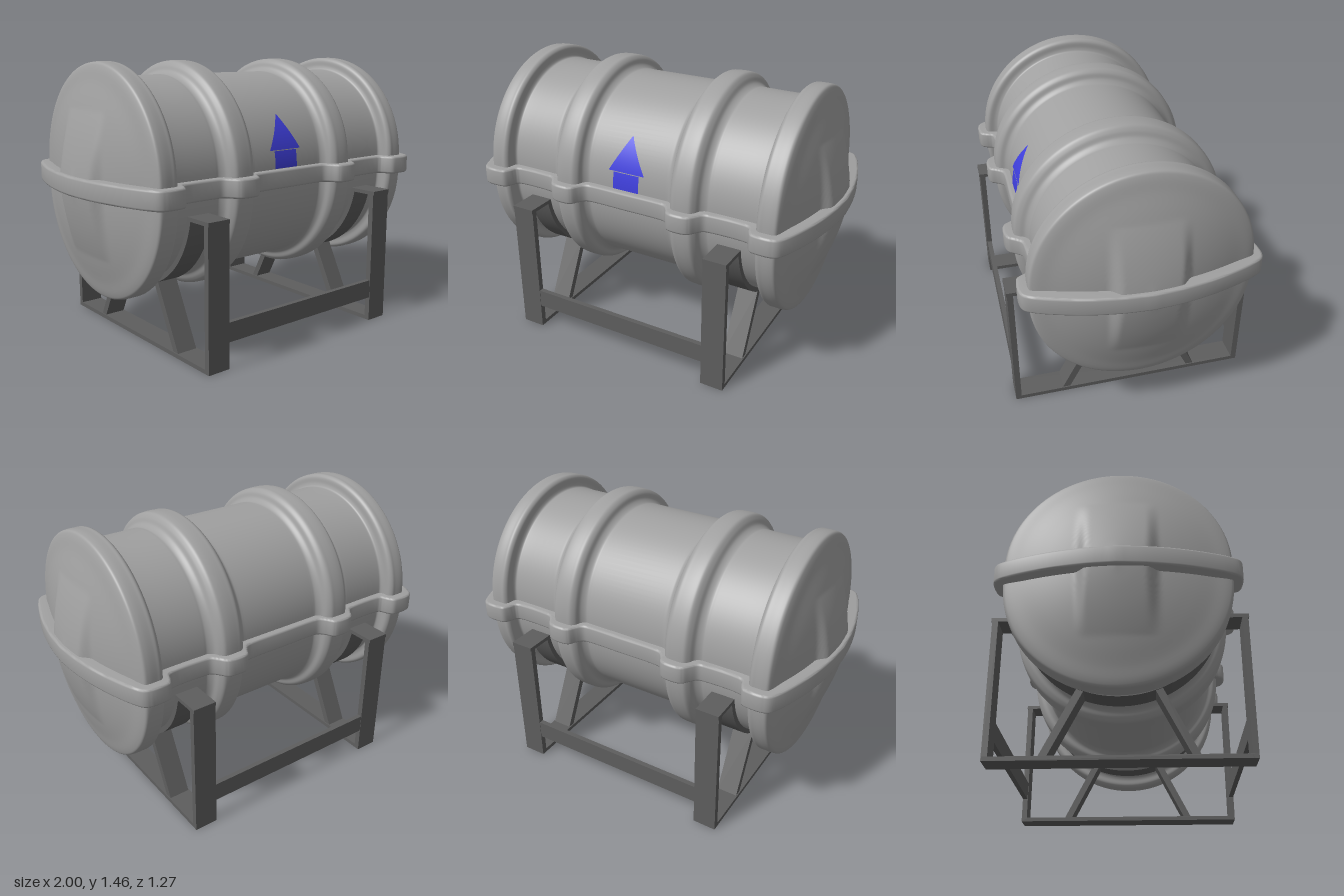
import * as THREE from 'three';
import { toCreasedNormals } from 'three/addons/utils/BufferGeometryUtils.js';

const tankGrey = new THREE.MeshStandardMaterial({ color: 0xa0a0a0, name: 'tankGrey' });
const frameGrey = new THREE.MeshStandardMaterial({ color: 0x5e5e5e, name: 'frameGrey' });
const arrowBlue = new THREE.MeshStandardMaterial({ color: 0x4040e0, name: 'arrowBlue', side: THREE.DoubleSide });

const UPPER_Y = 0.905, LOWER_Y = 0.815, BODY_R = 0.48;

// Smooth curve through [x, y] pairs, sampled as Vector2
function smooth(pairs, count) {
  const curve = new THREE.CatmullRomCurve3(pairs.map(([x, y]) => new THREE.Vector3(x, y, 0)), false, 'centripetal');
  return curve.getPoints(count).map(p => new THREE.Vector2(p.x, p.y));
}

function add(group, name, geometry, material, x = 0, y = 0, z = 0) {
  const mesh = new THREE.Mesh(geometry, material);
  mesh.name = name;
  mesh.position.set(x, y, z);
  group.add(mesh);
  return mesh;
}

// Half of the ribbed, domed tank: a half-turn lathe laid along x
function halfTank(upper) {
  // [distance along the axis, radius] from the middle to the tip
  const half = [
    [0.22, 0.48], [0.24, 0.482], [0.262, 0.5], [0.275, 0.53], [0.295, 0.547], [0.32, 0.55],
    [0.37, 0.55], [0.392, 0.545], [0.41, 0.525], [0.425, 0.497], [0.45, 0.481], [0.47, 0.48],
    [0.70, 0.48], [0.718, 0.483], [0.727, 0.5], [0.733, 0.535], [0.748, 0.549], [0.77, 0.55],
    [0.81, 0.55], [0.83, 0.545], [0.841, 0.525], [0.86, 0.455], [0.885, 0.37], [0.905, 0.29],
    [0.922, 0.2], [0.934, 0.1], [0.94, 0.0],
  ];
  const right = smooth(half, 156).map(p => new THREE.Vector2(Math.max(0, p.y), p.x));
  const left = right.map(p => new THREE.Vector2(p.x, -p.y)).reverse();
  const g = new THREE.LatheGeometry([...left, ...right], 56, upper ? Math.PI : 0, Math.PI);
  g.rotateZ(-Math.PI / 2);
  // Raised boss in the middle of each end, fading away from the seam
  const pos = g.attributes.position;
  for (let i = 0; i < pos.count; i++) {
    const x = pos.getX(i);
    if (Math.abs(x) < 0.86) continue;
    const side = 1 - THREE.MathUtils.smoothstep(Math.abs(pos.getZ(i)), 0.14, 0.2);
    const fade = Math.max(0, 1 - Math.abs(pos.getY(i)) / 0.32);
    pos.setX(i, x + Math.sign(x) * 0.038 * side * fade);
  }
  g.computeVertexNormals();
  return g;
}

// Flange that follows the tank outline at the seam
function flange() {
  const bevel = 0.012;
  const q = smooth([
    [0, 0.515], [0.2, 0.515], [0.235, 0.522], [0.26, 0.55], [0.28, 0.583], [0.305, 0.595],
    [0.375, 0.595], [0.405, 0.583], [0.43, 0.55], [0.455, 0.522], [0.49, 0.515],
    [0.66, 0.515], [0.69, 0.525], [0.705, 0.56], [0.725, 0.588], [0.755, 0.595],
    [0.825, 0.595], [0.86, 0.58], [0.89, 0.53], [0.93, 0.42], [0.965, 0.29], [0.99, 0.14], [1, 0],
  ], 90);
  const back = [...q].reverse();
  const mirror = (list, sx, sy) => list.map(p => new THREE.Vector2(p.x * sx, p.y * sy));
  const outline = [
    ...q.slice(0, -1), ...mirror(back, 1, -1).slice(0, -1),
    ...mirror(q, -1, -1).slice(0, -1), ...mirror(back, -1, 1).slice(0, -1),
  ];
  const g = new THREE.ExtrudeGeometry(new THREE.Shape(outline), {
    depth: 0.098 - 2 * bevel, bevelSize: bevel, bevelThickness: bevel, bevelOffset: -bevel, bevelSegments: 3,
  });
  g.translate(0, 0, -(0.098 - 2 * bevel) / 2).rotateX(Math.PI / 2);
  return toCreasedNormals(g, 0.7);
}

// Thin patch wrapped on the front of the upper shell; halfWidth(t) for t from bottom to top
function wrappedPatch(y0, y1, halfWidth) {
  const g = new THREE.PlaneGeometry(1, 1, 6, 14);
  const pos = g.attributes.position;
  for (let i = 0; i < pos.count; i++) {
    const t = pos.getY(i) + 0.5;
    const y = y0 + (y1 - y0) * t;
    const z = Math.sqrt((BODY_R + 0.004) ** 2 - (y - UPPER_Y) ** 2);
    pos.setXYZ(i, -0.01 + pos.getX(i) * 2 * halfWidth(t), y, z);
  }
  g.computeVertexNormals();
  return g;
}

// Curved strap under the tank
function saddle(width) {
  const a = 0.18, s = new THREE.Shape();
  s.absarc(0, 0, 0.505, Math.PI + a, 2 * Math.PI - a, false);
  s.absarc(0, 0, 0.47, 2 * Math.PI - a, Math.PI + a, true);
  const g = new THREE.ExtrudeGeometry(s, { depth: width, bevelEnabled: false, curveSegments: 40 });
  g.translate(0, 0, -width / 2).rotateY(Math.PI / 2);
  return toCreasedNormals(g, 0.6);
}

// One cross frame: posts, base bar, top plates, braces and saddle
function crossFrame() {
  const frame = new THREE.Group(), w = 0.125;
  add(frame, 'baseBar', new THREE.BoxGeometry(w, 0.022, 1.26), frameGrey, 0, 0.011, 0);
  add(frame, 'saddle', saddle(w), frameGrey, 0, LOWER_Y, 0);
  for (const s of [1, -1]) {
    add(frame, 'post', new THREE.BoxGeometry(w, 0.73, 0.03), frameGrey, 0, 0.365, s * 0.617);
    add(frame, 'topPlate', new THREE.BoxGeometry(w, 0.02, 0.165), frameGrey, 0, 0.732, s * 0.5535);
    // Slanted brace from the base bar to the saddle
    const from = new THREE.Vector2(0.358, 0.012), to = new THREE.Vector2(0.187, 0.35);
    const d = to.clone().sub(from);
    const brace = add(frame, 'brace', new THREE.BoxGeometry(w * 0.9, d.length(), 0.036), frameGrey,
      0, (from.y + to.y) / 2, s * (from.x + to.x) / 2);
    brace.rotation.x = s * Math.atan2(d.x, d.y);
  }
  return frame;
}

export function createModel() {
  const model = new THREE.Group();
  model.name = 'tankOnStand';

  const tank = new THREE.Group();
  tank.name = 'tank';
  add(tank, 'upperShell', halfTank(true), tankGrey, 0, UPPER_Y, 0);
  add(tank, 'lowerShell', halfTank(false), tankGrey, 0, LOWER_Y, 0);
  add(tank, 'flange', flange(), tankGrey, 0, 0.861, 0);
  model.add(tank);

  const arrow = new THREE.Group();
  arrow.name = 'arrow';
  add(arrow, 'arrowShaft', wrappedPatch(0.912, 1.002, () => 0.075), arrowBlue);
  add(arrow, 'arrowHead', wrappedPatch(1.006, 1.185, t => 0.105 * (1 - t)), arrowBlue);
  model.add(arrow);

  const stand = new THREE.Group();
  stand.name = 'stand';
  for (const s of [1, -1]) {
    const frame = crossFrame();
    frame.name = s > 0 ? 'leftFrame' : 'rightFrame';
    frame.position.x = s * 0.572;
    stand.add(frame);
    add(stand, s > 0 ? 'frontRail' : 'backRail', new THREE.BoxGeometry(1.04, 0.1, 0.026), frameGrey, 0, 0.185, s * 0.617);
  }
  model.add(stand);
  return model;
}
